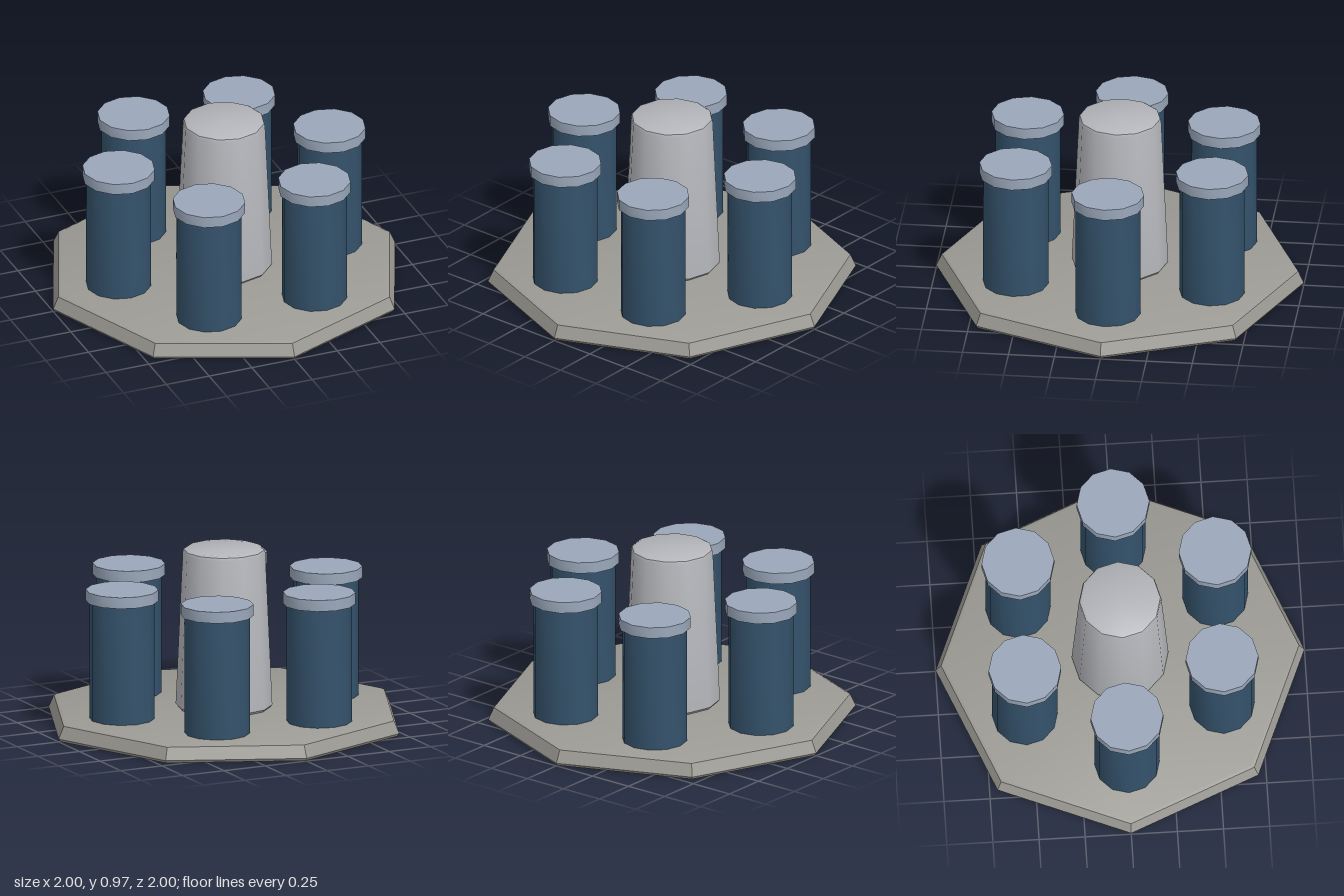
import * as THREE from 'three';
import { toCreasedNormals } from 'three/addons/utils/BufferGeometryUtils.js';

// Closed turned solid from [radius, height] points, bottom to top
function turned(name, profile, sides, color, crease) {
  const points = profile.map(([r, y]) => new THREE.Vector2(r, y));
  const geometry = toCreasedNormals(new THREE.LatheGeometry(points, sides), crease);
  const mesh = new THREE.Mesh(geometry, new THREE.MeshStandardMaterial({ color }));
  mesh.name = name;
  return mesh;
}

export function createModel() {
  const model = new THREE.Group();
  model.name = 'jarCarousel';

  // Octagonal base plate with a sloped, softened rim
  model.add(turned('base', [
    [0, 0], [0.99, 0], [1, 0.015], [0.97, 0.083], [0.95, 0.092], [0, 0.092],
  ], 8, 0x9c9a94, 0.6));

  // Tapered central post with small bevels
  model.add(turned('centralPost', [
    [0, 0.09], [0.25, 0.09], [0.262, 0.105], [0.224, 0.95], [0.219, 0.965], [0.205, 0.973], [0, 0.973],
  ], 12, 0xb4b5ba, 0.7));

  // Ring of six lidded jars
  for (let i = 0; i < 6; i++) {
    const angle = (i * Math.PI) / 3;
    const jar = new THREE.Group();
    jar.name = `jar${i + 1}`;
    jar.add(
      turned('jarBody', [[0, 0.09], [0.177, 0.09], [0.177, 0.75], [0, 0.75]], 12, 0x34526b, 0.6),
      turned('jarLid', [[0, 0.745], [0.197, 0.745], [0.197, 0.807], [0, 0.807]], 12, 0x9aa7ba, 0.6),
    );
    jar.position.set(Math.cos(angle) * 0.617, 0, Math.sin(angle) * 0.617);
    model.add(jar);
  }

  return model;
}
